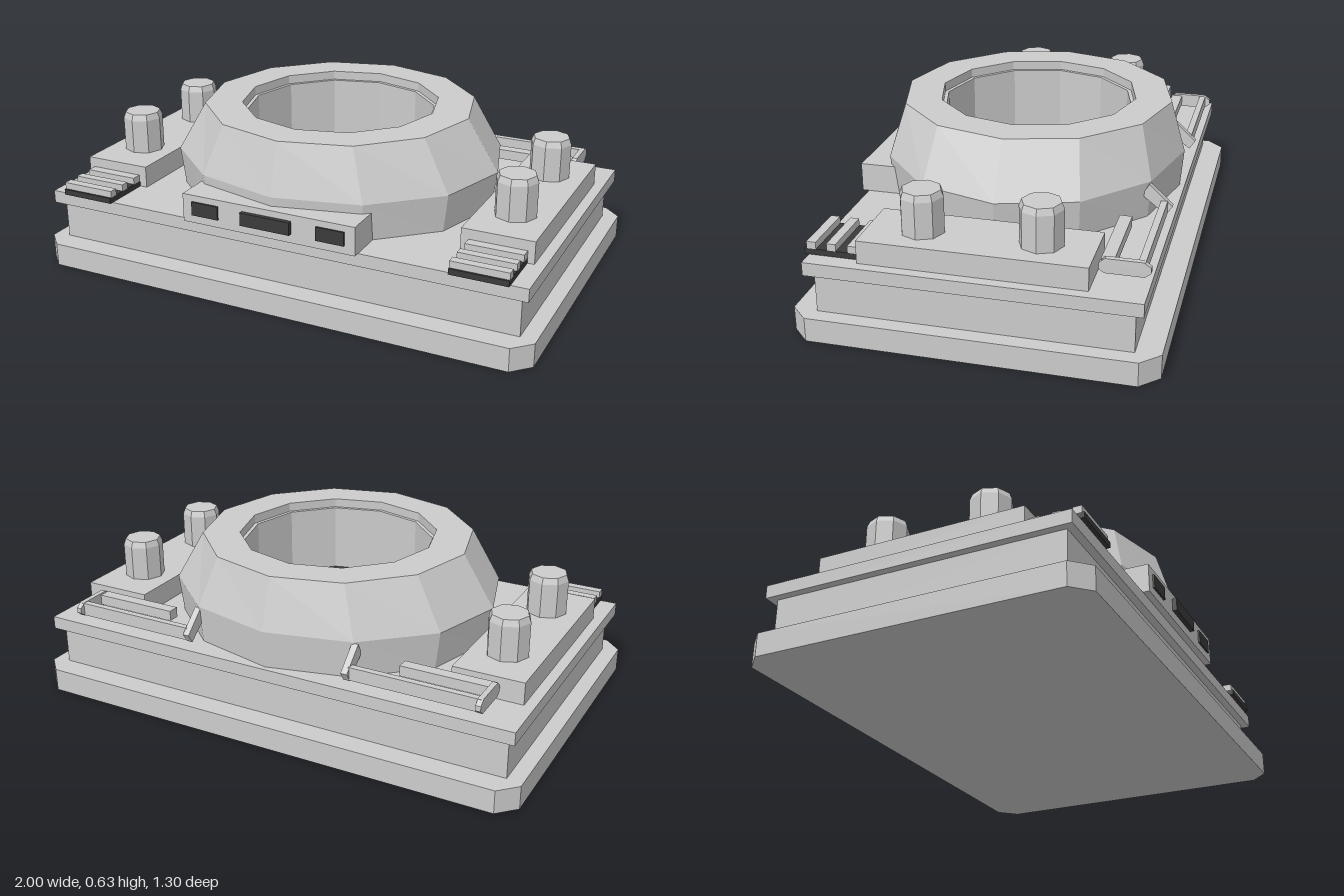
import * as THREE from 'three';

const hull = new THREE.MeshStandardMaterial({ color: 0xcccccc });
hull.name = 'lightGrey';
const dark = new THREE.MeshStandardMaterial({ color: 0x3b3b3b });
dark.name = 'darkGrey';

export function createModel() {
  const model = new THREE.Group();
  model.name = 'hatchPlatform';

  // Adds a faceted mesh
  function add(name, geometry, material = hull, parent = model) {
    const flat = geometry.index ? geometry.toNonIndexed() : geometry;
    flat.computeVertexNormals();
    const mesh = new THREE.Mesh(flat, material);
    mesh.name = name;
    parent.add(mesh);
    return mesh;
  }

  // Box given by its limits on each axis
  function box(name, [x0, x1], [y0, y1], [z0, z1], material, parent) {
    const g = new THREE.BoxGeometry(x1 - x0, y1 - y0, z1 - z0);
    g.translate((x0 + x1) / 2, (y0 + y1) / 2, (z0 + z1) / 2);
    return add(name, g, material, parent);
  }

  // Prism along x from a (z, y) outline
  function sidePrism(name, outline, x0, x1, parent) {
    const shape = new THREE.Shape(outline.map(([z, y]) => new THREE.Vector2(-z, y)));
    const g = new THREE.ExtrudeGeometry(shape, { depth: x1 - x0, bevelEnabled: false });
    g.rotateY(Math.PI / 2).translate(x0, 0, 0);
    return add(name, g, hull, parent);
  }

  // Base plinth with chamfered corners
  const w = 1, d = 0.65, c = 0.067;
  const plinth = new THREE.Shape([
    [-w + c, -d], [w - c, -d], [w, -d + c], [w, d - c],
    [w - c, d], [-w + c, d], [-w, d - c], [-w, -d + c],
  ].map(([x, z]) => new THREE.Vector2(x, z)));
  const plinthGeometry = new THREE.ExtrudeGeometry(plinth, { depth: 0.09, bevelEnabled: false });
  add('basePlinth', plinthGeometry.rotateX(-Math.PI / 2));
  box('body', [-0.94, 0.94], [0.09, 0.24], [-0.56, 0.56]);
  box('deck', [-0.97, 0.97], [0.24, 0.29], [-0.59, 0.59]);

  // Twelve-sided ring: each row is x radius, z radius, height
  const rows = [
    [0.635, 0.57, 0.29], [0.655, 0.582, 0.435], [0.53, 0.525, 0.63],
    [0.385, 0.385, 0.63], [0.385, 0.385, 0.595], [0.37, 0.37, 0.595], [0.37, 0.37, 0.33],
  ];
  const ring = new THREE.LatheGeometry(rows.map(([x, , y]) => new THREE.Vector2(x, y)), 12);
  const pos = ring.attributes.position;
  for (let i = 0; i < pos.count; i++) {
    const [rx, rz] = rows[i % rows.length];
    pos.setZ(i, pos.getZ(i) * rz / rx);
  }
  add('domeRing', ring);

  // Recessed floor with hexagonal plate
  add('ringFloor', new THREE.CylinderGeometry(0.37, 0.37, 0.04, 12).translate(0, 0.31, 0), dark);
  add('hexPlate', new THREE.CylinderGeometry(0.22, 0.22, 0.008, 6).rotateY(Math.PI / 6).translate(0, 0.334, 0));

  // Front sensor panel
  box('frontPanel', [-0.35, 0.35], [0.29, 0.4], [0.45, 0.615]);
  box('centreWindow', [-0.1, 0.1], [0.325, 0.375], [0.615, 0.632], dark);
  for (const s of [-1, 1]) {
    box('sideWindow', [s * 0.255 - 0.055, s * 0.255 + 0.055], [0.322, 0.375], [0.612, 0.622], dark);
  }

  for (const s of [-1, 1]) {
    const side = new THREE.Group();
    side.name = s > 0 ? 'leftEquipment' : 'rightEquipment';
    model.add(side);
    // Limits on x mirrored to this side
    const mx = (a, b) => (s > 0 ? [a, b] : [-b, -a]);

    // Raised pod with two bevelled posts
    box('sidePod', mx(0.66, 0.93), [0.29, 0.375], [-0.4, 0.405], hull, side);
    for (const z of [-0.21, 0.21]) {
      const profile = [[0.079, 0.37], [0.079, 0.51], [0.07, 0.534], [0, 0.534]];
      const post = new THREE.LatheGeometry(profile.map(([r, y]) => new THREE.Vector2(r, y)), 8);
      add('post', post.translate(s * 0.795, 0, z), hull, side);
    }

    // Slatted vent
    box('ventBase', mx(0.69, 0.905), [0.29, 0.312], [0.405, 0.605], dark, side);
    for (const [z0, z1] of [[0.408, 0.447], [0.49, 0.523], [0.563, 0.597]]) {
      box('ventSlat', mx(0.69, 0.905), [0.312, 0.338], [z0, z1], hull, side);
    }

    // Rear handrail: outer bar, end plate, inner bar and slanted strut
    box('outerRail', mx(0.34, 0.84), [0.32, 0.37], [-0.57, -0.545], hull, side);
    box('innerRail', mx(0.49, 0.835), [0.325, 0.365], [-0.465, -0.42], hull, side);
    sidePrism('railEnd', [
      [-0.415, 0.33], [-0.415, 0.355], [-0.435, 0.372], [-0.565, 0.372],
      [-0.59, 0.355], [-0.59, 0.335], [-0.57, 0.318], [-0.435, 0.318],
    ].reverse(), ...mx(0.825, 0.845), side);
    sidePrism('railStrut', [
      [-0.475, 0.385], [-0.5, 0.43], [-0.588, 0.35], [-0.565, 0.315],
    ].reverse(), ...mx(0.32, 0.345), side);
  }

  return model;
}
